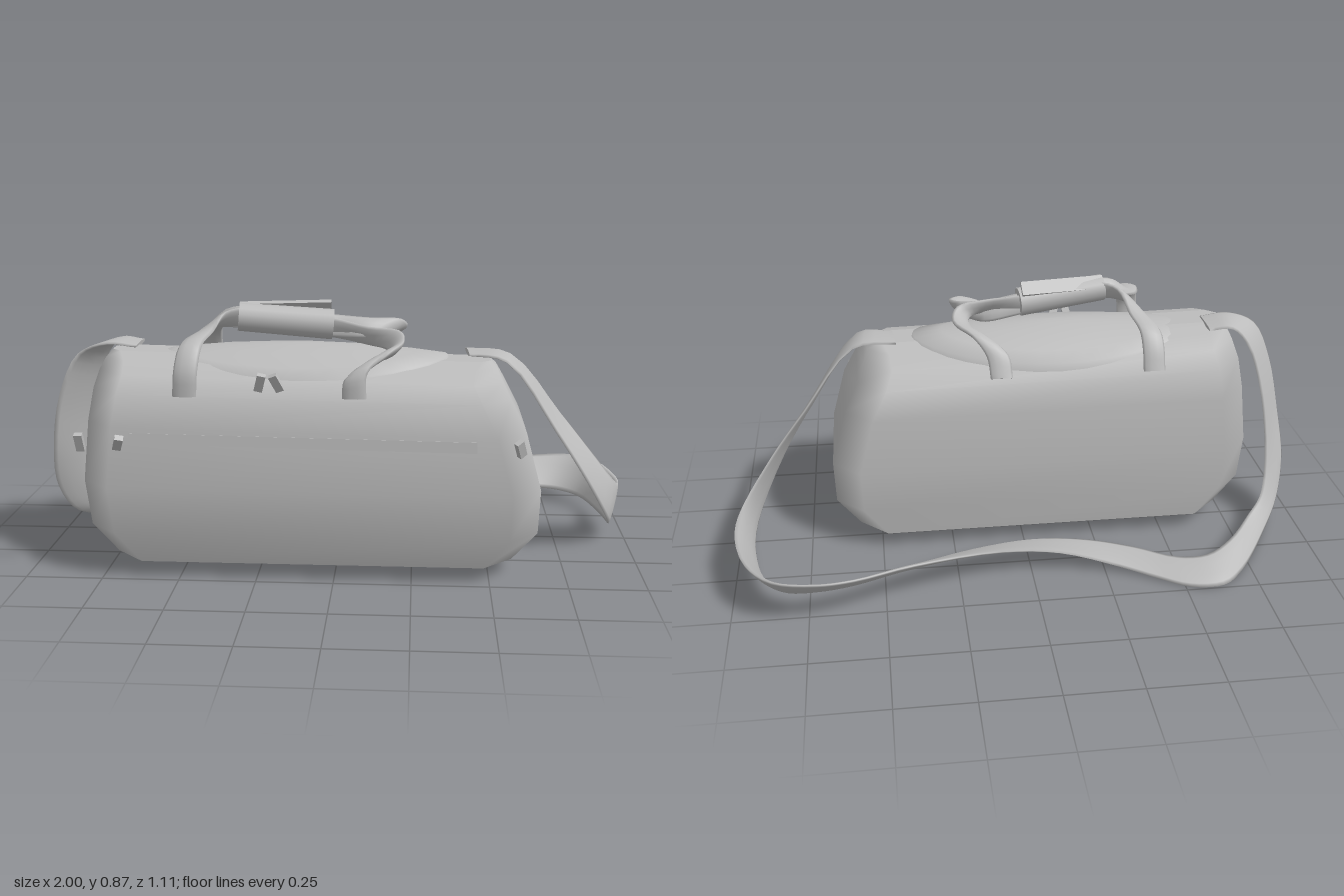
import * as THREE from 'three';

const fabric = new THREE.MeshStandardMaterial({ color: 0xbcbcbc, side: THREE.DoubleSide });
const V = (a) => new THREE.Vector3(...a);

// Skin over equal-sized closed rings of points, with optional flat end caps
function loft(rings, caps = false) {
  const n = rings[0].length, pos = rings.flat().flatMap((p) => [p.x, p.y, p.z]), idx = [];
  for (let i = 0; i < rings.length - 1; i++) {
    for (let j = 0; j < n; j++) {
      const a = i * n + j, b = i * n + (j + 1) % n;
      idx.push(a, b, b + n, a, b + n, a + n);
    }
  }
  if (caps) {
    [rings[0], rings.at(-1)].forEach((ring, end) => {
      const base = pos.length / 3;
      ring.forEach((p) => pos.push(p.x, p.y, p.z));
      for (let j = 1; j < n - 1; j++) idx.push(base, base + (end ? j : j + 1), base + (end ? j + 1 : j));
    });
  }
  const g = new THREE.BufferGeometry();
  g.setAttribute('position', new THREE.Float32BufferAttribute(pos, 3));
  g.setIndex(idx);
  g.computeVertexNormals();
  return g;
}

// Soft webbing stretched between two edge curves, with a thin lens section
function band(edgeA, edgeB, thick, steps) {
  const ca = new THREE.CatmullRomCurve3(edgeA, false, 'centripetal');
  const cb = new THREE.CatmullRomCurve3(edgeB, false, 'centripetal');
  const mid = (t) => ca.getPoint(t).lerp(cb.getPoint(t), 0.5);
  const rings = [], m = 5;
  for (let i = 0; i <= steps; i++) {
    const t = i / steps, a = ca.getPoint(t), b = cb.getPoint(t);
    const tan = mid(Math.min(1, t + 0.005)).sub(mid(Math.max(0, t - 0.005)));
    const nrm = tan.cross(b.clone().sub(a)).normalize();
    const ring = [];
    for (let k = 0; k < 2 * m; k++) {
      const ang = (k / m) * Math.PI;
      ring.push(a.clone().lerp(b, 0.5 - 0.5 * Math.cos(ang)).addScaledVector(nrm, thick * Math.sin(ang)));
    }
    rings.push(ring);
  }
  return loft(rings, true);
}

// Handle webbing: rows of centre x, y, z and the direction of its width
function handleGeometry(rows) {
  const edge = (s) => rows.map(([x, y, z, dx, dy, dz]) =>
    V([x, y, z]).addScaledVector(V([dx, dy, dz]).normalize(), s * 0.038));
  return band(edge(-1), edge(1), 0.012, 48);
}

export function createModel() {
  const bag = new THREE.Group();
  bag.name = 'duffelBag';
  const add = (name, geometry) => {
    const mesh = new THREE.Mesh(geometry, fabric);
    mesh.name = name;
    bag.add(mesh);
    return mesh;
  };

  // Body: chamfered horizontal sections, y, x0, x1, z0, z1
  const sections = [
    [0.06, -0.72, 0.575, -0.09, 0.47], [0.16, -0.80, 0.655, -0.095, 0.495],
    [0.31, -0.815, 0.66, -0.1, 0.51], [0.50, -0.80, 0.61, -0.08, 0.488],
    [0.60, -0.785, 0.56, -0.06, 0.46], [0.65, -0.775, 0.535, 0.0, 0.41],
    [0.68, -0.765, 0.52, 0.07, 0.34], [0.70, -0.75, 0.50, 0.14, 0.26],
  ];
  add('body', loft(sections.map(([y, x0, x1, z0, z1]) => {
    const cz = Math.min(0.095, (z1 - z0) * 0.28), cx = cz;
    return [
      [x1, z1 - cz], [x1, z0 + cz], [x1 - cx, z0], [x0 + cx, z0],
      [x0, z0 + cz], [x0, z1 - cz], [x0 + cx, z1], [x1 - cx, z1],
    ].map(([x, z]) => V([x, y - 0.02 * x * (y - 0.06) / 0.64, z]));
  }), true));

  // Raised oval lid on the roof
  const lidRings = [[1.03, -0.05], [1, 0], [0.8, 0], [0.5, 0], [0.2, 0], [0.01, 0]].map(([r, drop]) => {
    const ring = [];
    for (let j = 0; j < 36; j++) {
      const a = (j / 36) * Math.PI * 2, c = r * Math.cos(a), s = r * Math.sin(a);
      ring.push(V([-0.14 + 0.5 * c, 0.703 + 0.035 * (1 - r * r) - 0.05 * s * s + drop, 0.19 - 0.22 * s]));
    }
    return ring;
  });
  add('lid', loft(lidRings, true));

  // Shoulder strap: outer and inner edge, from the right end around the back to the left end
  const outer = [
    [-0.68, 0.715, 0.2], [-0.78, 0.725, 0.2], [-0.88, 0.69, 0.19], [-0.95, 0.55, 0.19], [-0.99, 0.35, 0.16],
    [-1, 0.19, 0.09], [-0.96, 0.07, -0.01], [-0.86, 0.02, -0.18], [-0.72, 0.01, -0.4], [-0.63, 0.012, -0.49],
    [-0.52, 0.01, -0.485], [-0.42, 0.015, -0.43], [-0.3, 0.03, -0.365], [-0.1, 0.08, -0.33], [0.1, 0.11, -0.345],
    [0.4, 0.14, -0.44], [0.6, 0.155, -0.53], [0.72, 0.16, -0.55], [0.86, 0.17, -0.53], [0.95, 0.175, -0.42],
    [0.995, 0.175, -0.2], [0.97, 0.2, -0.05], [0.87, 0.33, 0.03], [0.75, 0.48, 0.06], [0.57, 0.69, 0.1],
    [0.42, 0.705, 0.09],
  ];
  const inner = [
    [-0.68, 0.715, 0.05], [-0.76, 0.72, 0.04], [-0.82, 0.65, 0.04], [-0.87, 0.5, 0.03], [-0.9, 0.3, 0.01],
    [-0.895, 0.17, -0.03], [-0.87, 0.11, -0.08], [-0.81, 0.08, -0.15], [-0.7, 0.065, -0.29], [-0.6, 0.055, -0.36],
    [-0.5, 0.045, -0.345], [-0.36, 0.04, -0.25], [-0.21, 0.04, -0.185], [-0.02, 0.05, -0.175], [0.2, 0.05, -0.22],
    [0.47, 0.05, -0.33], [0.61, 0.055, -0.4], [0.72, 0.06, -0.43], [0.81, 0.055, -0.42], [0.88, 0.05, -0.36],
    [0.93, 0.045, -0.2], [0.94, 0.07, 0.02], [0.84, 0.26, 0.18], [0.72, 0.45, 0.23], [0.55, 0.69, 0.26],
    [0.43, 0.705, 0.22],
  ];
  add('shoulderStrap', band(outer.map(V), inner.map(V), 0.008, 100));

  // Two carry handles meeting at the grip
  add('frontHandle', handleGeometry([
    [-0.47, 0.61, 0.468, 1, 0, 0], [-0.465, 0.69, 0.465, 1, 0, 0], [-0.455, 0.76, 0.42, 1, 0.1, 0],
    [-0.43, 0.785, 0.31, 1, 0.3, 0.2], [-0.38, 0.82, 0.25, 0.5, 0.8, 0.5], [-0.28, 0.825, 0.235, 0, 1, 0.4],
    [-0.02, 0.79, 0.205, 0, 1, 0.4], [0.1, 0.765, 0.215, 0, 1, 0.5], [0.18, 0.76, 0.26, 0.5, 0.8, 0],
    [0.19, 0.745, 0.34, 0.7, 0.7, 0], [0.14, 0.73, 0.42, 0.9, 0.5, 0], [0.07, 0.68, 0.465, 1, 0.3, 0],
    [0.065, 0.61, 0.468, 1, 0, 0],
  ]));
  add('backHandle', handleGeometry([
    [-0.46, 0.62, -0.058, 1, 0, 0], [-0.46, 0.69, -0.03, 1, 0, 0], [-0.455, 0.74, 0.01, 1, 0.1, 0],
    [-0.43, 0.77, 0.09, 1, 0.3, 0], [-0.39, 0.815, 0.18, 0.6, 0.8, -0.2], [-0.29, 0.825, 0.225, 0, 1, -0.4],
    [-0.02, 0.795, 0.195, 0, 1, -0.4], [0.1, 0.79, 0.2, 0, 0.8, -0.6], [0.18, 0.785, 0.16, 0.5, 0.6, -0.3],
    [0.19, 0.765, 0.09, 0.9, 0.4, 0], [0.13, 0.74, 0.02, 1, 0.3, 0], [0.08, 0.69, -0.025, 1, 0, 0],
    [0.07, 0.62, -0.058, 1, 0, 0],
  ]));

  // Grip wrap with its overlapping flap
  const gripGeo = new THREE.CylinderGeometry(0.046, 0.05, 0.31, 14);
  const grip = add('grip', gripGeo);
  const from = V([-0.325, 0.828, 0.238]), to = V([-0.02, 0.8, 0.2]);
  grip.position.copy(from).lerp(to, 0.5);
  grip.quaternion.setFromUnitVectors(V([0, 1, 0]), from.clone().sub(to).normalize());
  const flap = add('gripFlap', new THREE.BoxGeometry(0.3, 0.05, 0.012));
  flap.position.set(-0.175, 0.855, 0.195);
  flap.rotation.set(0.7, 0.12, -0.09);

  // Front pocket seam
  const seam = add('pocketSeam', new THREE.BoxGeometry(1.1, 0.035, 0.008));
  seam.position.set(-0.1, 0.47, 0.49);
  seam.rotation.set(-0.12, 0, -0.012);

  // Zip pulls: position, rotation
  [
    [[-0.808, 0.46, 0.48], [0.35, 0, 0.05]], [[-0.675, 0.47, 0.52], [0.85, 0, -0.3]],
    [[0.585, 0.46, 0.48], [0.35, 0.7, 0.3]], [[-0.232, 0.655, 0.455], [0.4, 0, -0.25]],
    [[-0.18, 0.655, 0.455], [0.4, 0, 0.4]],
  ].forEach(([p, r], i) => {
    const pull = add('zipPull' + (i + 1), new THREE.BoxGeometry(0.027, i === 1 ? 0.075 : 0.06, 0.018));
    pull.position.set(...p);
    pull.rotation.set(...r);
  });

  return bag;
}
